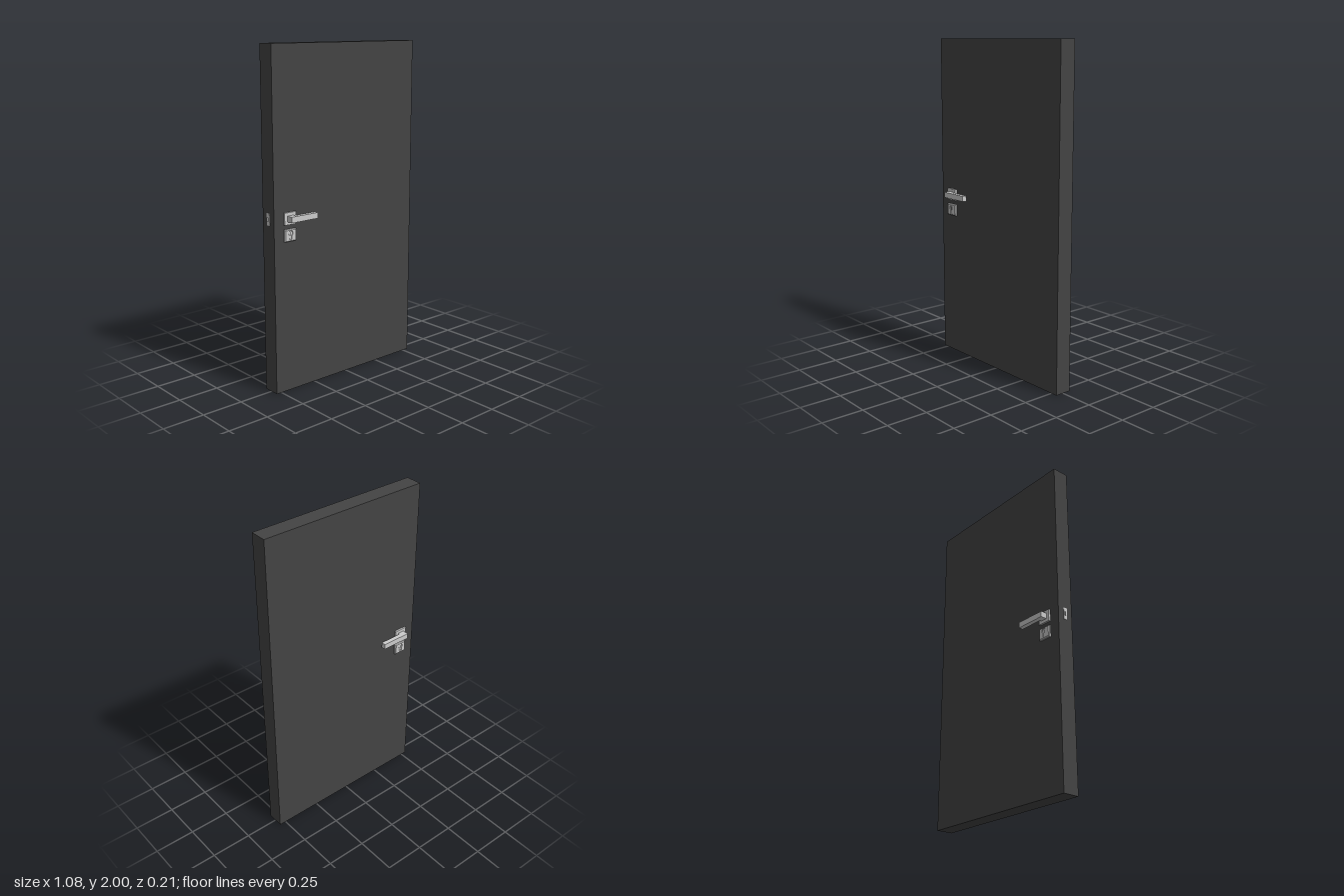
import * as THREE from 'three';

const metal = new THREE.MeshStandardMaterial({ color: 0xcccccc });
const dark = new THREE.MeshStandardMaterial({ color: 0x444444 });
const FACE = 0.0515; // half the thickness of the door leaf
const LOCK_X = -0.427;

function add(parent, name, geometry, material, x, y, z) {
  const mesh = new THREE.Mesh(geometry, material);
  mesh.name = name;
  mesh.position.set(x, y, z);
  parent.add(mesh);
  return mesh;
}

// Box given by its lower and upper limits
function block(parent, name, material, [x0, x1], [y0, y1], [z0, z1]) {
  const geometry = new THREE.BoxGeometry(x1 - x0, y1 - y0, Math.abs(z1 - z0));
  return add(parent, name, geometry, material, (x0 + x1) / 2, (y0 + y1) / 2, (z0 + z1) / 2);
}

// Round head with a straight stem below, as on a lock cylinder
function cylinderOutline(PathType, r, stem, length) {
  const path = new PathType();
  const a = Math.asin(stem / r);
  path.absarc(0, 0, r, -Math.PI / 2 + a, Math.PI * 1.5 - a, false);
  path.lineTo(-stem, -length + stem);
  path.absarc(0, -length + stem, stem, Math.PI, Math.PI * 2, false);
  path.closePath();
  return path;
}

// Chamfered plate with an opening for the lock cylinder
function escutcheonGeometry() {
  const b = 0.005, w = 0.0405 - b, h = 0.0355 - b;
  const shape = new THREE.Shape([
    new THREE.Vector2(-w, -h), new THREE.Vector2(w, -h),
    new THREE.Vector2(w, h), new THREE.Vector2(-w, h),
  ]);
  const hole = cylinderOutline(THREE.Path, 0.016, 0.009, 0.04);
  hole.curves.forEach((c) => {
    if (c.isEllipseCurve) c.aY += 0.012;
    else { c.v1.y += 0.012; c.v2.y += 0.012; }
  });
  shape.holes.push(hole);
  return new THREE.ExtrudeGeometry(shape, {
    depth: 0.009, bevelThickness: b, bevelSize: b, bevelSegments: 1, curveSegments: 10,
  });
}

// Handle and lock plate for one face; s is +1 at the front, -1 at the back
function createFurniture(s) {
  const group = new THREE.Group();
  group.name = s > 0 ? 'frontFurniture' : 'backFurniture';
  const rose = [LOCK_X - 0.0405, LOCK_X + 0.0405];
  block(group, 'handleRose', metal, rose, [0.998, 1.069], [s * FACE, s * 0.0635]);
  block(group, 'handleNeck', metal, [-0.448, -0.406], [1.016, 1.05], [s * 0.06, s * 0.08]);
  block(group, 'handleLever', metal, [-0.448, -0.259], [1.016, 1.05], [s * 0.0745, s * 0.103]);

  const lock = new THREE.Group();
  lock.name = 'lock';
  lock.position.set(LOCK_X, 0.9355, s * FACE);
  if (s < 0) lock.rotation.y = Math.PI;
  add(lock, 'lockPlate', escutcheonGeometry(), metal, 0, 0, 0);
  const core = new THREE.ExtrudeGeometry(cylinderOutline(THREE.Shape, 0.0135, 0.0065, 0.038),
    { depth: 0.0115, bevelEnabled: false, curveSegments: 10 });
  add(lock, 'lockCylinder', core, metal, 0, 0.012, 0);
  add(lock, 'keySlot', new THREE.BoxGeometry(0.004, 0.022, 0.002), dark, 0, 0.0085, 0.0115);
  group.add(lock);
  return group;
}

// Edge plate and slanted latch bolt
function createLatch() {
  const group = new THREE.Group();
  group.name = 'latch';
  block(group, 'latchPlate', metal, [-0.536, -0.531], [0.998, 1.069], [-0.012, 0.012]);
  const wedge = new THREE.Shape([
    new THREE.Vector2(-0.532, -0.006), new THREE.Vector2(-0.532, 0.007),
    new THREE.Vector2(-0.5415, 0.006), new THREE.Vector2(-0.5415, 0.003),
  ]);
  const bolt = new THREE.ExtrudeGeometry(wedge, { depth: 0.022, bevelEnabled: false });
  add(group, 'latchBolt', bolt, metal, 0, 1.022, 0).rotation.x = -Math.PI / 2;
  return group;
}

export function createModel() {
  const door = new THREE.Group();
  door.name = 'door';
  block(door, 'doorLeaf', dark, [-0.5335, 0.5415], [0, 2], [-FACE, FACE]);
  for (const s of [1, -1]) door.add(createFurniture(s));
  door.add(createLatch());
  return door;
}
